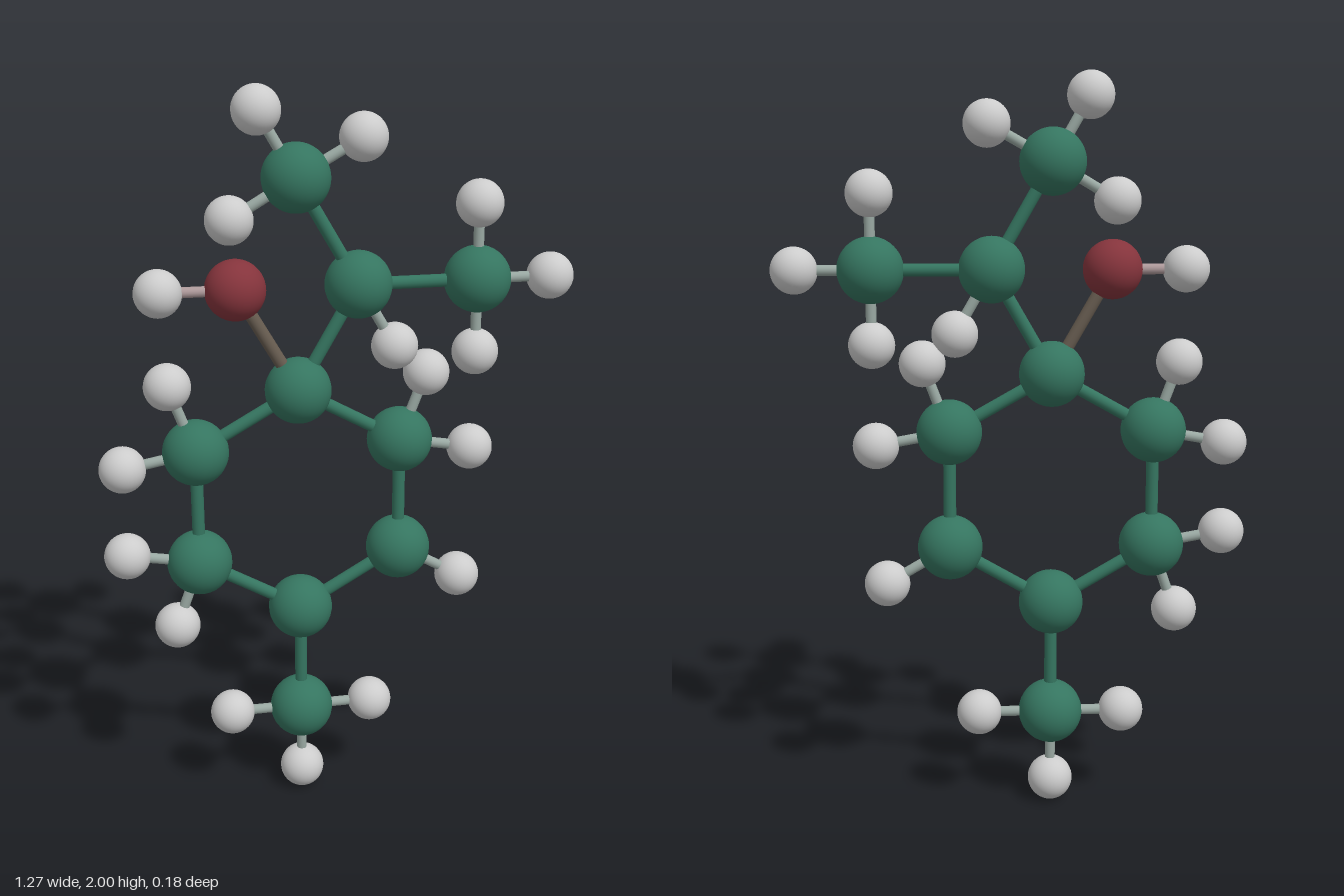
import * as THREE from 'three';

// Atom kinds: radius and colour
const KINDS = {
  carbon: { radius: 0.088, color: 0x357560 },
  oxygen: { radius: 0.079, color: 0x85343c },
  hydrogen: { radius: 0.062, color: 0xcccccc },
};

// Heavy atoms: position, bonds to other heavy atoms, and attached hydrogen positions
const ATOMS = {
  ringTop: { at: [-0.105, 1.215], bonds: ['ringUpperLeft', 'ringUpperRight', 'branch', 'oxygen'] },
  ringUpperLeft: { at: [0.17, 1.06], bonds: ['ringLowerLeft'], h: [[0.24, 1.245], [0.366, 1.025]] },
  ringLowerLeft: { at: [0.17, 0.742], bonds: ['ringBottom'], h: [[0.342, 0.642]] },
  ringBottom: { at: [-0.105, 0.582], bonds: ['ringLowerRight', 'bottomMethyl'] },
  ringLowerRight: { at: [-0.38, 0.742], bonds: ['ringUpperRight'], h: [[-0.573, 0.776], [-0.447, 0.556]] },
  ringUpperRight: { at: [-0.38, 1.06], h: [[-0.447, 1.245], [-0.573, 1.025]] },
  bottomMethyl: { at: [-0.105, 0.264], h: [[-0.303, 0.264], [0.093, 0.264], [-0.105, 0.065]] },
  branch: { at: [0.055, 1.492], bonds: ['sideMethyl', 'topMethyl'], h: [[0.153, 1.323]] },
  sideMethyl: { at: [0.372, 1.492], h: [[0.372, 1.69], [0.57, 1.492], [0.372, 1.295]] },
  topMethyl: { at: [-0.105, 1.77], h: [[-0.202, 1.938], [0.067, 1.866], [-0.275, 1.67]] },
  oxygen: { at: [-0.264, 1.492], kind: 'oxygen', h: [[-0.46, 1.492]] },
};

export function createModel() {
  const model = new THREE.Group();
  model.name = 'molecule';
  const up = new THREE.Vector3(0, 1, 0);
  const materials = {};
  const material = (color) => (materials[color] ??= new THREE.MeshStandardMaterial({ color }));
  const spheres = {};
  for (const kind in KINDS) spheres[kind] = new THREE.SphereGeometry(KINDS[kind].radius, 32, 24);

  function addAtom(name, kind, [x, y]) {
    const atom = new THREE.Mesh(spheres[kind], material(KINDS[kind].color));
    atom.name = name;
    atom.position.set(x, y, 0);
    model.add(atom);
  }

  // Rod between two atom centres, tinted halfway between their colours
  function addBond(name, from, to, kindA, kindB) {
    const a = new THREE.Vector3(...from, 0);
    const b = new THREE.Vector3(...to, 0);
    const radius = kindB === 'hydrogen' ? 0.014 : 0.017;
    const tint = new THREE.Color(KINDS[kindA].color).lerp(new THREE.Color(KINDS[kindB].color), 0.5);
    const rod = new THREE.Mesh(
      new THREE.CylinderGeometry(radius, radius, a.distanceTo(b), 16, 1, true),
      material(tint.getHex()),
    );
    rod.name = name;
    rod.position.copy(a).lerp(b, 0.5);
    rod.quaternion.setFromUnitVectors(up, b.sub(a).normalize());
    model.add(rod);
  }

  for (const [name, { at, kind = 'carbon', bonds = [], h = [] }] of Object.entries(ATOMS)) {
    addAtom(`${name}Atom`, kind, at);
    for (const other of bonds) {
      addBond(`${name}To${other}Bond`, at, ATOMS[other].at, kind, ATOMS[other].kind ?? 'carbon');
    }
    h.forEach((p, i) => {
      addAtom(`${name}Hydrogen${i + 1}`, 'hydrogen', p);
      addBond(`${name}HydrogenBond${i + 1}`, at, p, kind, 'hydrogen');
    });
  }
  return model;
}
